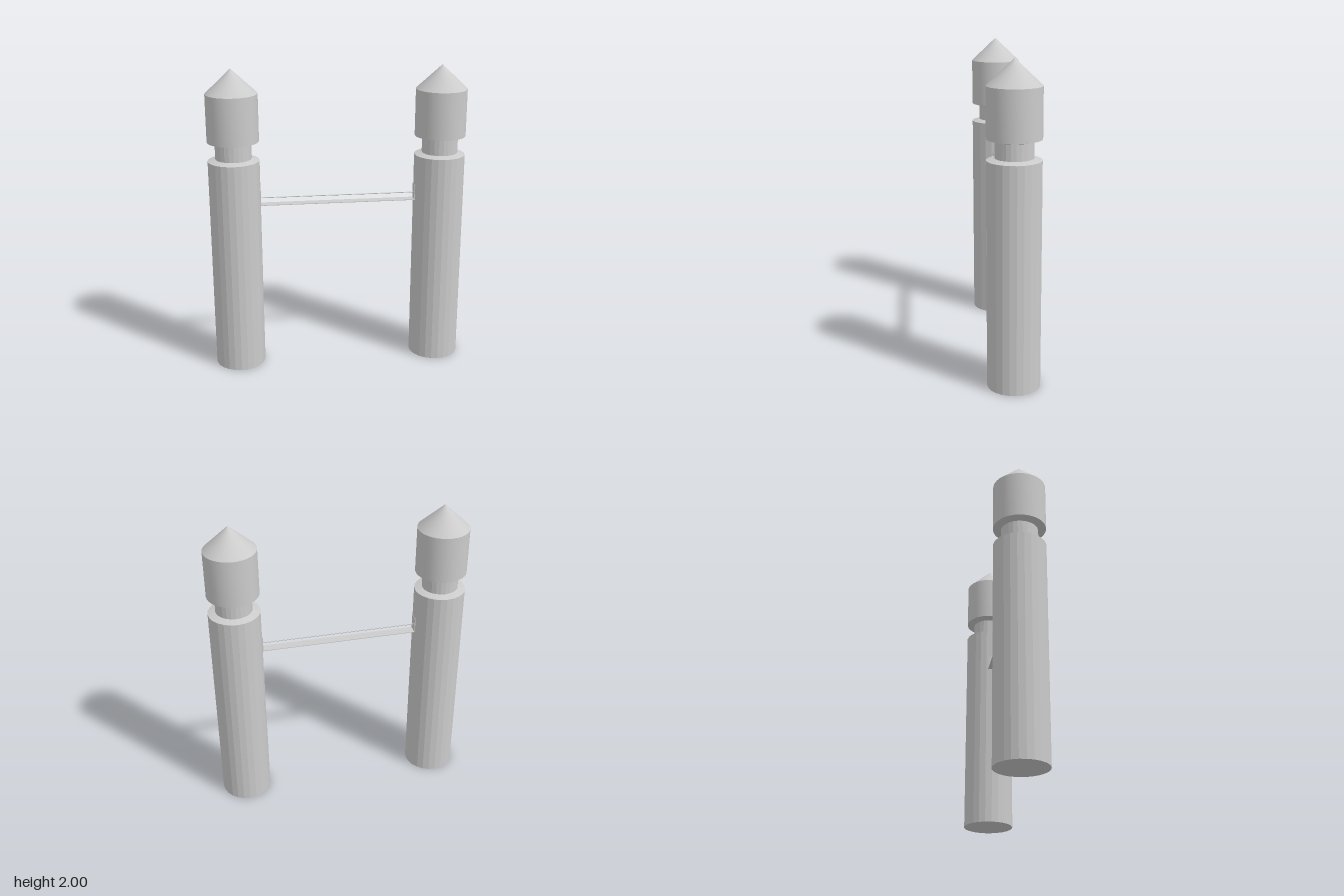
import * as THREE from 'three';
import { toCreasedNormals } from 'three/addons/utils/BufferGeometryUtils.js';

const POST_X = 0.67, R = 0.165, NECK_R = 0.116;

export function createModel() {
  const smooth = new THREE.MeshStandardMaterial({ color: 0xcccccc });
  const faceted = new THREE.MeshStandardMaterial({ color: 0xcccccc, flatShading: true });
  const model = new THREE.Group();
  model.name = 'postBarrier';

  const add = (parent, name, geometry, material, x = 0, y = 0, z = 0) => {
    const mesh = new THREE.Mesh(geometry, material);
    mesh.name = name;
    mesh.position.set(x, y, z);
    parent.add(mesh);
    return mesh;
  };

  // Turned profiles, running from the bottom of the axis to the top
  const turned = (points, sides) => toCreasedNormals(
    new THREE.LatheGeometry(points.map(([r, y]) => new THREE.Vector2(r, y)), sides), 0.4);
  const shaft = turned([[0, 0], [R, 0], [R, 1.415], [NECK_R, 1.428], [0, 1.428]], 24);
  const neck = new THREE.CylinderGeometry(NECK_R, NECK_R, 0.11, 24, 1, true);
  const cap = turned([[0, 1.528], [NECK_R, 1.528], [R, 1.54], [R, 1.845], [0, 2]], 32);

  // Two matching posts, each with a socket plate on its inner side
  for (const side of [-1, 1]) {
    const post = new THREE.Group();
    post.name = side > 0 ? 'leftPost' : 'rightPost';
    post.position.x = side * POST_X;
    add(post, 'shaft', shaft, faceted);
    add(post, 'neck', neck, faceted, 0, 1.478);
    add(post, 'pointedCap', cap, smooth);
    add(post, 'socketPlate', new THREE.BoxGeometry(0.01, 0.1, 0.06), smooth, -side * (R - 0.004), 1.162);
    model.add(post);
  }

  // Thin flat rail with a fine wire just above it
  const span = 2 * (POST_X - R) + 0.02;
  add(model, 'flatRail', new THREE.BoxGeometry(span, 0.004, 0.06), smooth, 0, 1.113);
  const wire = add(model, 'wire', new THREE.CylinderGeometry(0.003, 0.003, span, 8), smooth, 0, 1.157);
  wire.rotation.z = Math.PI / 2;

  return model;
}
